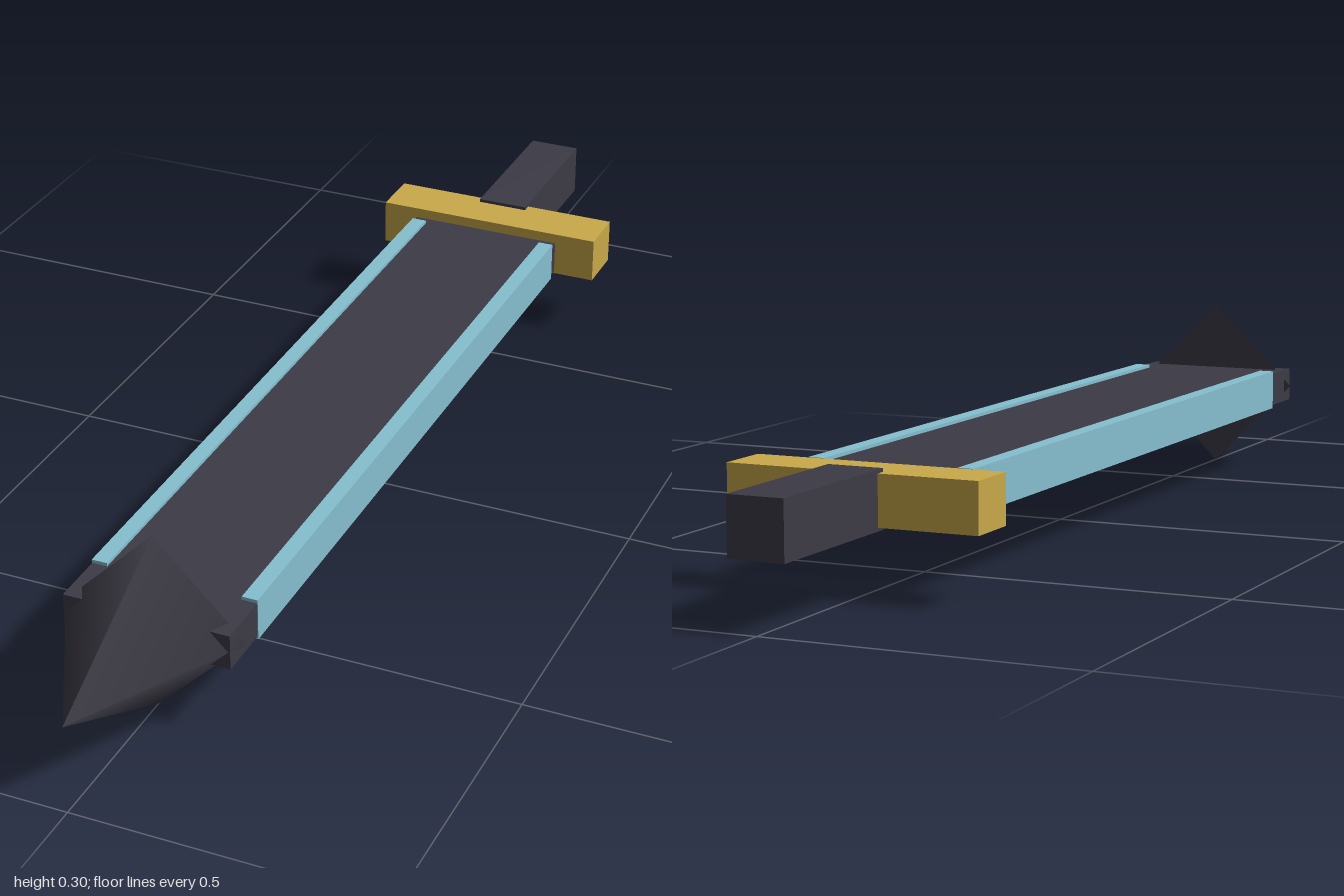
import * as THREE from 'three';

const CENTER_Y = 0.149;

export function createModel() {
  const group = new THREE.Group();
  group.name = 'sword';

  const darkSteel = new THREE.MeshStandardMaterial({ name: 'dark steel', color: 0x3c3b46 });
  const paleBlue = new THREE.MeshStandardMaterial({ name: 'pale blue', color: 0x86bfcf });
  const gold = new THREE.MeshStandardMaterial({ name: 'gold', color: 0xc9a94a });

  const add = (name, geometry, material, x, z) => {
    const mesh = new THREE.Mesh(geometry, material);
    mesh.name = name;
    mesh.position.set(x, CENTER_Y, z);
    group.add(mesh);
  };

  // Box centred on the sword axis, spanning zBack to zFront
  const bar = (name, material, x, width, height, zBack, zFront) =>
    add(name, new THREE.BoxGeometry(width, height, zFront - zBack), material, x, (zBack + zFront) / 2);

  // Flat blade, running slightly into the tip
  bar('blade', darkSteel, 0, 0.273, 0.058, -0.628, 0.745);

  // Pale strips wrapping both long edges of the blade
  for (const side of [1, -1]) {
    bar(side > 0 ? 'leftEdge' : 'rightEdge', paleBlue, side * 0.1245, 0.026, 0.069, -0.61, 0.652);
  }

  // Four-sided pointed tip with corners on the vertical and horizontal axes
  const tip = new THREE.ConeGeometry(0.149, 0.285, 4);
  tip.rotateX(Math.PI / 2);
  add('tip', tip, darkSteel, 0, 0.8575);

  // Crossguard and square grip
  bar('crossguard', gold, 0, 0.411, 0.079, -0.732, -0.642);
  bar('grip', darkSteel, 0, 0.09, 0.09, -1, -0.715);

  return group;
}
